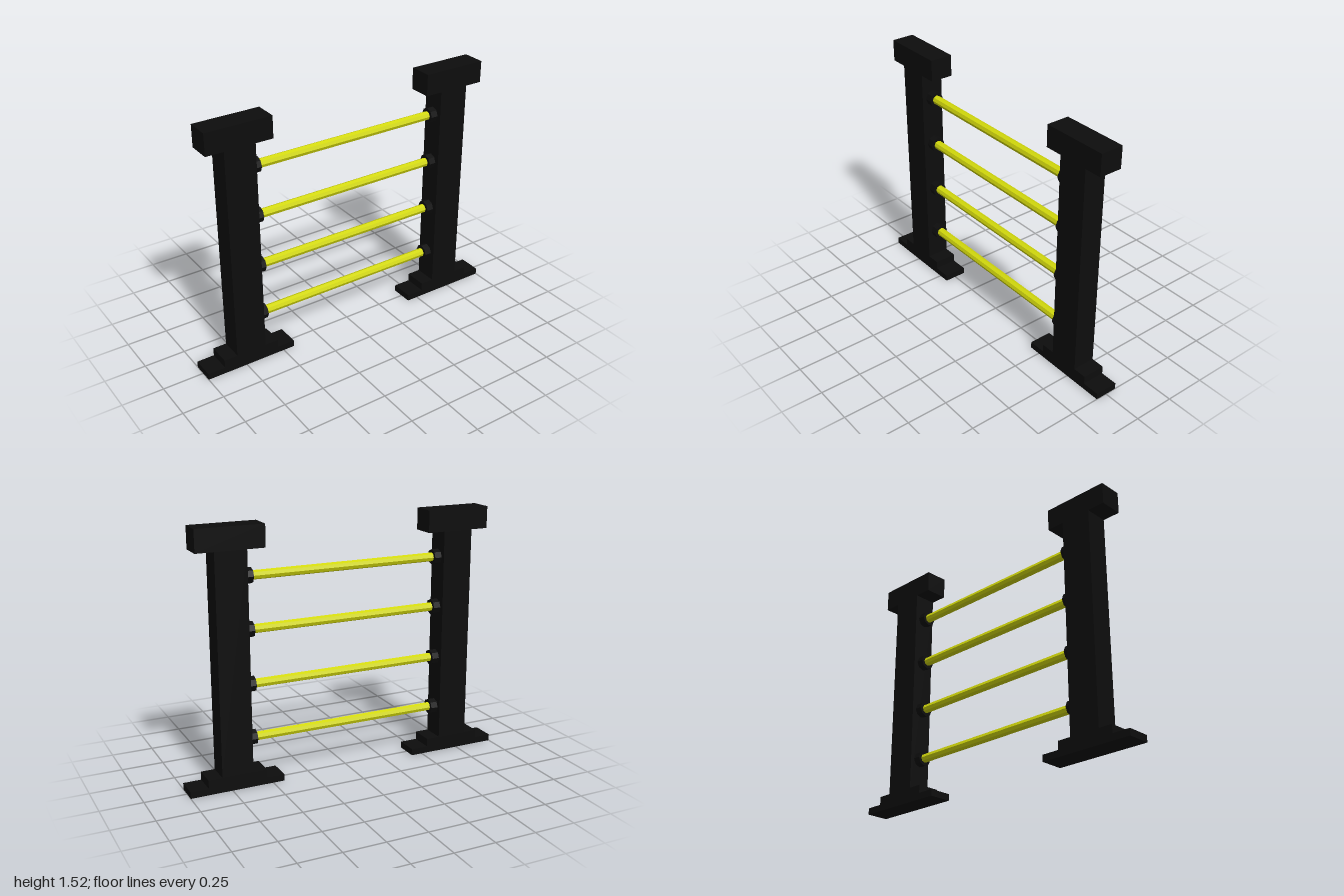
import * as THREE from 'three';

const DEPTH = 0.14;
const POST_X = 0.715;
const RAIL_HEIGHTS = [0.28, 0.603, 0.925, 1.233];

export function createModel() {
  const model = new THREE.Group();
  model.name = 'railBarrier';

  const black = new THREE.MeshStandardMaterial({ color: 0x0d0d0d });
  black.name = 'black';
  const yellow = new THREE.MeshStandardMaterial({ color: 0xd2d80c });
  yellow.name = 'yellow';

  function add(parent, name, geometry, material, x, y) {
    const mesh = new THREE.Mesh(geometry, material);
    mesh.name = name;
    mesh.position.set(x, y, 0);
    parent.add(mesh);
  }

  // Block resting between two heights
  function block(parent, name, width, bottom, top) {
    add(parent, name, new THREE.BoxGeometry(width, top - bottom, DEPTH), black, 0, (bottom + top) / 2);
  }

  // Eight flat-sided rod along x, with an edge at the top
  function rod(radius, length) {
    const g = new THREE.CylinderGeometry(radius, radius, length, 8).rotateZ(Math.PI / 2).toNonIndexed();
    g.computeVertexNormals();
    return g;
  }

  // Posts with stepped feet and wide caps
  for (const side of [-1, 1]) {
    const post = new THREE.Group();
    post.name = side > 0 ? 'leftPost' : 'rightPost';
    post.position.x = side * POST_X;
    block(post, 'footPlate', 0.57, 0, 0.04);
    block(post, 'footStep', 0.355, 0.04, 0.09);
    block(post, 'column', 0.188, 0.09, 1.393);
    block(post, 'cap', 0.402, 1.393, 1.525);
    model.add(post);
  }

  // Rails seated in collars on the inner post faces
  const railGeometry = rod(0.027, 1.2);
  const collarGeometry = rod(0.046, 0.046);
  for (const y of RAIL_HEIGHTS) {
    add(model, 'rail', railGeometry, yellow, 0, y);
    for (const side of [-1, 1]) add(model, 'railCollar', collarGeometry, black, side * 0.6, y);
  }

  return model;
}
